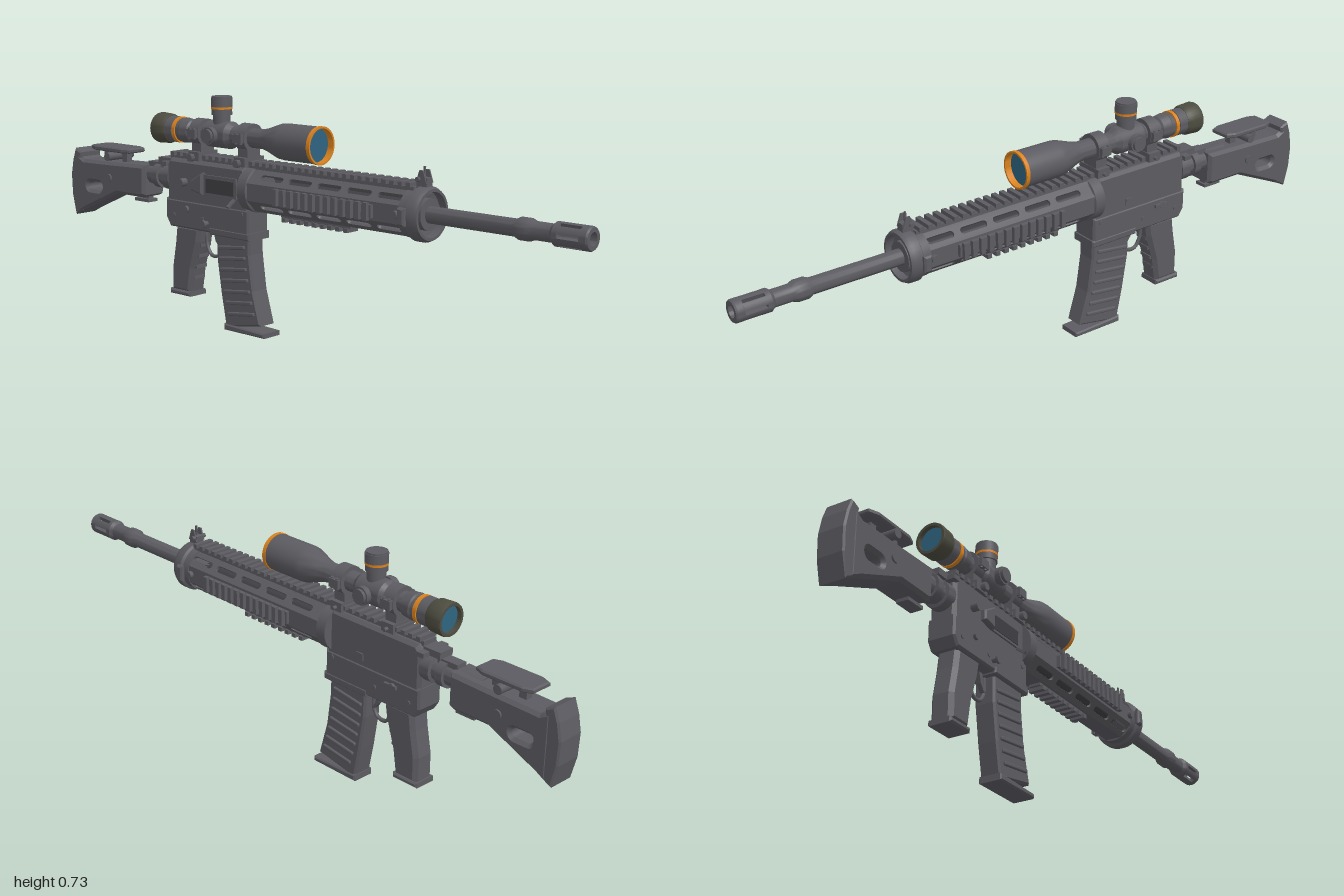
import * as THREE from 'three';
import { toCreasedNormals } from 'three/addons/utils/BufferGeometryUtils.js';
import { RoundedBoxGeometry } from 'three/addons/geometries/RoundedBoxGeometry.js';

const material = (name, color, side = THREE.FrontSide) => {
  const m = new THREE.MeshStandardMaterial({ color, side });
  m.name = name;
  return m;
};

export function createModel() {
  const root = new THREE.Group();
  root.name = 'scopedRifle';
  const metal = material('gunmetal', 0x5c5b61);
  const dark = material('darkMetal', 0x3f3e43);
  const orange = material('orange', 0xd9821f);
  const glass = material('blueGlass', 0x2f6480, THREE.DoubleSide);
  const olive = material('oliveRubber', 0x4c4c40);
  const AXIS = 0.453, SCOPE = 0.607;

  const add = (name, geo, mat, x = 0, y = 0, z = 0, parent = root) => {
    const m = new THREE.Mesh(geo, mat);
    m.name = name;
    m.position.set(x, y, z);
    parent.add(m);
    return m;
  };
  const box = (name, w, h, d, x, y, z, mat = metal) => add(name, new THREE.BoxGeometry(w, h, d), mat, x, y, z);
  // Turned part along z from [radius, z] pairs, rear to front
  const turned = (name, pts, y, mat = metal) => {
    const g = new THREE.LatheGeometry(pts.map(p => new THREE.Vector2(p[0], p[1])), 32);
    g.rotateX(Math.PI / 2);
    return add(name, toCreasedNormals(g, 0.5), mat, 0, y, 0);
  };
  // Cylinder lying along the x axis
  const pin = (name, r, len, x, y, z, seg = 16) =>
    add(name, new THREE.CylinderGeometry(r, r, len, seg).rotateZ(Math.PI / 2), metal, x, y, z);
  const outline = pts => new THREE.Shape(pts.map(p => new THREE.Vector2(p[0], p[1])));
  const slot = (z, y, len, h) => {
    const p = new THREE.Path(), r = h / 2, a = len / 2 - r;
    p.absarc(z + a, y, r, -Math.PI / 2, Math.PI / 2);
    p.absarc(z - a, y, r, Math.PI / 2, Math.PI * 1.5);
    p.closePath();
    return p;
  };
  // Side outline in (z, y), given a width along x
  const slab = (shape, width, bevel = 0) => new THREE.ExtrudeGeometry(shape, {
    depth: width - 2 * bevel, bevelEnabled: bevel > 0, bevelSize: bevel, bevelThickness: bevel,
    bevelOffset: -bevel, bevelSegments: 1, curveSegments: 8,
  }).translate(0, 0, -(width / 2 - bevel)).rotateY(-Math.PI / 2);

  // Barrel and muzzle brake
  turned('barrel', [[0.024, 0.4], [0.024, 0.77], [0.031, 0.785], [0.031, 0.815], [0.025, 0.83], [0.025, 0.885],
    [0.033, 0.895], [0.033, 0.91], [0.016, 0.91], [0.016, 0.85], [0, 0.85]], AXIS);
  turned('muzzleRing', [[0.018, 0.975], [0.033, 0.975], [0.033, 0.995], [0.03, 1], [0.018, 1], [0.018, 0.975]], AXIS);
  for (let i = 0; i < 6; i++) {
    const a = i * Math.PI / 3 + 0.17, b = a + 0.72;
    const s = new THREE.Shape();
    s.absarc(0, 0, 0.033, a, b);
    s.absarc(0, 0, 0.018, b, a, true);
    s.closePath();
    add('muzzleProng', new THREE.ExtrudeGeometry(s, { depth: 0.067, bevelEnabled: false, curveSegments: 5 }), metal, 0, AXIS, 0.909);
  }

  // Handguard of eight panels, slotted on the diagonals
  for (let i = 0; i < 8; i++) {
    const s = outline([[-0.17, -0.0265], [0.45, -0.0265], [0.45, 0.0265], [-0.17, 0.0265]]);
    if (i % 2) for (let k = 0; k < 5; k++) s.holes.push(slot(0.385 - k * 0.112, 0, 0.09, 0.02));
    const g = slab(s, 0.008).translate(0.06, 0, 0).rotateZ(i * Math.PI / 4);
    add('handguardPanel', g, metal, 0, AXIS, 0);
  }
  turned('innerBarrel', [[0.024, -0.18], [0.024, 0.41]], AXIS, dark);
  turned('frontFlange', [[0.062, 0.43], [0.07, 0.43], [0.07, 0.455], [0.078, 0.46], [0.078, 0.485], [0.072, 0.497],
    [0.064, 0.497], [0.064, 0.472], [0.045, 0.468], [0.045, 0.49], [0.024, 0.49]], AXIS);
  turned('rearCollar', [[0, -0.185], [0.071, -0.185], [0.071, -0.15], [0.06, -0.145], [0.024, -0.145]], AXIS);
  for (const s of [-1, 1]) {
    add('flangeLug', slab(outline([[0.44, -0.025], [0.465, -0.025], [0.465, 0.025], [0.44, 0.025]]), 0.018, 0.005), metal, s * 0.08, AXIS, 0);
    pin('flangeBolt', 0.012, 0.012, s * 0.07, AXIS, 0.42, 12);
  }

  // Toothed accessory rails
  const rail = (name, angle, radius, zBack, zFront, width) => {
    const g = new THREE.Group();
    g.name = name;
    const len = zFront - zBack;
    add('railBase', new THREE.BoxGeometry(width * 0.75, 0.014, len), metal, 0, radius - 0.019, (zBack + zFront) / 2, g);
    const n = Math.round(len / 0.0285);
    for (let i = 0; i < n; i++)
      add('railTooth', new THREE.BoxGeometry(width, 0.013, 0.015), metal, 0, radius - 0.0065, zBack + (i + 0.5) * len / n, g);
    g.position.y = AXIS;
    g.rotation.z = angle;
    root.add(g);
  };
  rail('topRail', 0, 0.087, -0.52, 0.45, 0.066);
  rail('leftRail', -Math.PI / 2, 0.087, -0.03, 0.34, 0.05);
  rail('rightRail', Math.PI / 2, 0.087, -0.03, 0.34, 0.05);
  rail('bottomRail', Math.PI, 0.084, -0.05, 0.22, 0.05);

  // Front sight
  box('frontSightBase', 0.026, 0.045, 0.035, 0, 0.532, 0.468);
  box('frontSightPost', 0.005, 0.04, 0.006, 0, 0.565, 0.468);
  for (const s of [-1, 1])
    add('frontSightEar', slab(outline([[0.45, 0.54], [0.486, 0.54], [0.474, 0.575], [0.462, 0.575]]), 0.005), metal, s * 0.014, 0, 0);
  pin('frontSightPin', 0.007, 0.05, 0, 0.55, 0.46, 10);

  // Receiver
  add('upperReceiver', slab(outline([[-0.165, 0.375], [-0.165, 0.49], [-0.185, 0.52], [-0.51, 0.52], [-0.525, 0.5], [-0.525, 0.375]]), 0.084, 0.01), metal);
  add('lowerReceiver', slab(outline([[-0.163, 0.302], [-0.163, 0.392], [-0.528, 0.392], [-0.528, 0.33], [-0.51, 0.302]]), 0.09, 0.006), metal);
  add('magazineWell', slab(outline([[-0.158, 0.297], [-0.158, 0.32], [-0.33, 0.32], [-0.33, 0.297]]), 0.094, 0.004), metal);
  box('magazineCatch', 0.006, 0.022, 0.026, 0.043, 0.415, -0.3);
  pin('selectorPivot', 0.011, 0.014, 0.046, 0.368, -0.43);
  box('selectorLever', 0.008, 0.01, 0.045, 0.05, 0.37, -0.425);
  for (const [y, z] of [[0.375, -0.19], [0.34, -0.36], [0.34, -0.49]]) pin('receiverPin', 0.008, 0.096, 0, y, z, 12);
  // Ejection port, deflector and controls on the model's right side
  box('ejectionPortFrame', 0.01, 0.062, 0.14, -0.043, 0.452, -0.28);
  box('ejectionPortCover', 0.008, 0.044, 0.12, -0.046, 0.45, -0.28, dark);
  add('caseDeflector', slab(outline([[-0.35, 0.42], [-0.35, 0.49], [-0.4, 0.46], [-0.4, 0.43]]), 0.03, 0.005), metal, -0.044, 0, 0);
  pin('boltAssist', 0.013, 0.03, -0.05, 0.45, -0.44);
  pin('magazineButton', 0.008, 0.024, -0.05, 0.33, -0.34);
  pin('magazineButtonCap', 0.013, 0.008, -0.063, 0.33, -0.34);
  pin('rightSelector', 0.011, 0.014, -0.047, 0.365, -0.43);
  const handle = box('boltLever', 0.035, 0.007, 0.01, -0.06, 0.408, -0.22);
  handle.rotation.z = 0.6;
  box('chargingHandle', 0.1, 0.014, 0.025, 0, 0.5, -0.53);
  box('rearBlock', 0.05, 0.02, 0.06, 0, 0.505, -0.55);

  // Magazine with slanted ribs
  add('magazine', slab(outline([[-0.17, 0.32], [-0.17, 0.25], [-0.155, 0.14], [-0.125, 0.035], [-0.275, 0.008],
    [-0.295, 0.11], [-0.312, 0.22], [-0.315, 0.32]]), 0.066, 0.006), metal);
  add('magazineFloor', slab(outline([[-0.107, 0], [-0.107, 0.015], [-0.28, 0.02], [-0.28, 0]]), 0.074, 0.004), metal);
  for (let i = 0; i < 7; i++) {
    const y = 0.265 - i * 0.034, z = -0.245 + 0.04 * (i / 6) ** 1.5;
    const rib = add('magazineRib', new RoundedBoxGeometry(0.08, 0.012, 0.115, 1, 0.004), metal, 0, y, z);
    rib.rotation.x = -0.13;
  }

  // Trigger, guard and grip
  const guard = new THREE.CatmullRomCurve3([[0.3, -0.315], [0.245, -0.318], [0.222, -0.335], [0.22, -0.365], [0.25, -0.385], [0.29, -0.39]]
    .map(p => new THREE.Vector3(0, p[0], p[1])));
  add('triggerGuard', new THREE.TubeGeometry(guard, 20, 0.006, 6), metal);
  add('trigger', slab(outline([[-0.335, 0.305], [-0.33, 0.27], [-0.318, 0.25], [-0.325, 0.248], [-0.342, 0.27], [-0.352, 0.305]]), 0.014), metal);
  add('grip', slab(outline([[-0.385, 0.31], [-0.392, 0.26], [-0.42, 0.17], [-0.433, 0.09], [-0.518, 0.09], [-0.518, 0.17],
    [-0.503, 0.25], [-0.495, 0.31]]), 0.072, 0.012), metal);
  add('gripCap', slab(outline([[-0.43, 0.08], [-0.43, 0.096], [-0.523, 0.096], [-0.523, 0.08]]), 0.076, 0.005), metal);
  for (let i = 0; i < 4; i++) box('gripRidge', 0.045, 0.01, 0.012, 0, 0.25 - i * 0.036, -0.398 - i * 0.01);

  // Stock tube and stock
  turned('stockTube', [[0, -0.72], [0.032, -0.72], [0.032, -0.555], [0.042, -0.553], [0.042, -0.52], [0, -0.52]], AXIS);
  turned('stockNut', [[0.03, -0.6], [0.041, -0.6], [0.041, -0.575], [0.03, -0.575]], AXIS);
  box('stockLatch', 0.035, 0.018, 0.07, 0, 0.487, -0.6);
  const stock = outline([[-0.63, 0.483], [-0.63, 0.385], [-0.645, 0.377], [-0.765, 0.377], [-0.92, 0.31], [-0.965, 0.29],
    [-0.965, 0.49], [-0.93, 0.475], [-0.8, 0.478]]);
  stock.holes.push(slot(-0.878, 0.39, 0.07, 0.028));
  add('stock', slab(stock, 0.092, 0.01), metal);
  add('buttPad', slab(outline([[-0.945, 0.497], [-0.975, 0.51], [-0.99, 0.47], [-1, 0.42], [-0.997, 0.35], [-0.98, 0.282],
    [-0.945, 0.3], [-0.955, 0.4]]), 0.088, 0.005), metal);
  pin('stockBolt', 0.014, 0.102, 0, 0.425, -0.8);
  box('stockLever', 0.04, 0.01, 0.065, 0, 0.364, -0.67);
  box('stockLeverPost', 0.02, 0.02, 0.03, 0, 0.374, -0.66);
  // Cheek rest: a chamfered plate on two posts
  const rest = outline([[-0.033, -0.71], [-0.045, -0.74], [-0.045, -0.87], [-0.033, -0.9], [0.033, -0.9], [0.045, -0.87], [0.045, -0.74], [0.033, -0.71]]);
  const restGeo = new THREE.ExtrudeGeometry(rest, { depth: 0.008, bevelSize: 0.005, bevelThickness: 0.004, bevelOffset: -0.005, bevelSegments: 1 });
  // Turning the plan flat reverses z, so turn it half round again
  restGeo.rotateX(-Math.PI / 2).rotateY(Math.PI);
  add('cheekRest', restGeo, metal, 0, 0.516, 0);
  for (const z of [-0.76, -0.85]) box('cheekRestPost', 0.022, 0.05, 0.024, 0, 0.495, z);
  pin('cheekRestKnob', 0.014, 0.106, 0, 0.497, -0.8);

  // Scope body with recessed lenses
  turned('scopeBody', [[0.03, -0.47], [0.03, -0.135], [0.036, -0.11], [0.053, -0.06], [0.055, -0.04], [0.055, 0.083]], SCOPE);
  turned('objectiveRing', [[0.055, 0.082], [0.0568, 0.082], [0.0568, 0.094], [0.051, 0.094], [0.051, 0.07]], SCOPE, orange);
  add('objectiveLens', new THREE.CircleGeometry(0.052, 32), glass, 0, SCOPE, 0.073);
  turned('zoomRing', [[0.03, -0.545], [0.041, -0.545], [0.041, -0.503], [0.037, -0.502], [0.037, -0.475], [0.04, -0.47], [0.036, -0.44], [0.03, -0.435]], SCOPE);
  turned('zoomStripe', [[0.037, -0.5], [0.0415, -0.5], [0.0415, -0.488], [0.037, -0.488]], SCOPE, orange);
  turned('eyepiece', [[0.039, -0.575], [0.039, -0.592], [0.047, -0.592], [0.049, -0.585], [0.047, -0.545], [0.042, -0.535], [0.03, -0.535]], SCOPE, olive);
  add('eyepieceLens', new THREE.CircleGeometry(0.041, 32).rotateY(Math.PI), glass, 0, SCOPE, -0.578);

  // Turret block and knobs
  turned('turretBlock', [[0.03, -0.375], [0.042, -0.36], [0.042, -0.272], [0.03, -0.255]], SCOPE);
  const turret = (name, r, y0, y1, mat = metal) => add(name, new THREE.CylinderGeometry(r, r, y1 - y0, 28), mat, 0, (y0 + y1) / 2, -0.315);
  turret('turretNeck', 0.027, 0.63, 0.672);
  turret('turretLower', 0.032, 0.668, 0.686);
  turret('turretStripe', 0.0335, 0.686, 0.693, orange);
  turret('turretCap', 0.0335, 0.693, 0.72);
  turret('turretTop', 0.031, 0.72, 0.725);
  pin('sideTurretNeck', 0.02, 0.11, 0, SCOPE, -0.315, 20);
  for (const s of [-1, 1]) {
    pin('sideTurret', 0.027, 0.016, s * 0.054, SCOPE, -0.315, 24);
    pin('sideTurretCap', 0.022, 0.012, s * 0.065, SCOPE, -0.315, 24);
  }

  // Scope rings and clamps
  for (const z of [-0.2, -0.4]) {
    turned('scopeRing', [[0.03, z - 0.02], [0.043, z - 0.02], [0.043, z + 0.02], [0.03, z + 0.02]], SCOPE);
    box('ringFoot', 0.056, 0.04, 0.04, 0, 0.56, z);
    box('ringClamp', 0.084, 0.028, 0.044, 0, 0.535, z);
    pin('clampBolt', 0.006, 0.115, -0.003, 0.532, z, 10);
    pin('clampNut', 0.013, 0.014, -0.054, 0.532, z, 6);
    for (const s of [-1, 1]) {
      box('ringEar', 0.018, 0.026, 0.036, s * 0.045, SCOPE, z);
      for (const dz of [-0.01, 0.01])
        add('ringScrew', new THREE.CylinderGeometry(0.005, 0.005, 0.034, 8), metal, s * 0.047, SCOPE, z + dz);
    }
  }
  return root;
}
